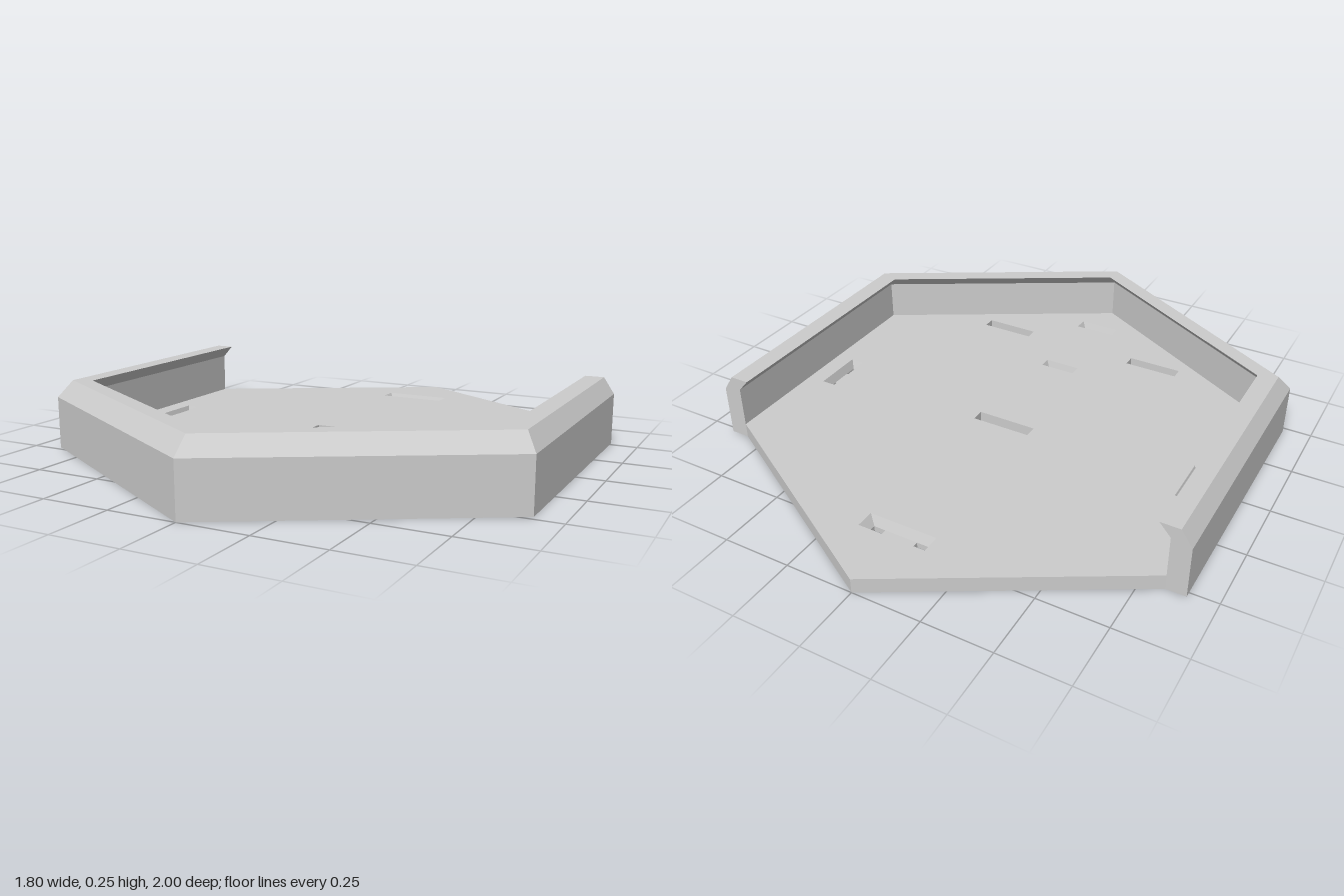
import * as THREE from 'three';

const FLOOR = 0.055, WEB = 0.02, BACK = -0.52;
const material = new THREE.MeshStandardMaterial({ color: 0xcccccc, flatShading: true });

// Plain slots cut right through the floor: x, z, half length, half width
const slots = [[0, -0.053, 0.112, 0.024], [0.328, 0.583, 0.103, 0.023], [-0.328, 0.583, 0.103, 0.023]];

// Tapered pockets with a bridge across the bottom (half sizes)
const pocket = (x, z, turned, length, width, innerLength, innerWidth, bridge) =>
  ({ x, z, turned, length, width, innerLength, innerWidth, bridge });
const pockets = [
  pocket(0, -0.748, false, 0.127, 0.034, 0.105, 0.018, 0.062),
  pocket(0, 0.407, false, 0.068, 0.022, 0.053, 0.013, 0.03),
  pocket(0, 0.766, false, 0.08, 0.027, 0.062, 0.014, 0.032),
  ...[1, -1].map((s) => pocket(s * 0.736, -0.048, true, 0.096, 0.027, 0.083, 0.016, 0.037)),
];

function rectangle(x, z, hx, hz) {
  return new THREE.Path([[-1, -1], [-1, 1], [1, 1], [1, -1]]
    .map(([a, b]) => new THREE.Vector2(x + a * hx, z + b * hz)));
}

// One slab of the floor, shape y becoming model z
function floorLayer(bottom, top, holes) {
  const shape = new THREE.Shape([[0, -1], [0.83, BACK], [0.83, 0.438], [0, 0.919], [-0.83, 0.438], [-0.83, BACK]]
    .map(([x, z]) => new THREE.Vector2(x, z)));
  shape.holes.push(...holes, ...slots.map((s) => rectangle(...s)));
  const geometry = new THREE.ExtrudeGeometry(shape, { depth: top - bottom, bevelEnabled: false });
  return geometry.rotateX(Math.PI / 2).translate(0, top, 0);
}

function lowerFloor() {
  const holes = pockets.flatMap((p) => [1, -1].map((s) => {
    const offset = s * (p.innerLength + p.bridge) / 2, half = (p.innerLength - p.bridge) / 2;
    return p.turned ? rectangle(p.x, p.z + offset, p.innerWidth, half)
      : rectangle(p.x + offset, p.z, half, p.innerWidth);
  }));
  return floorLayer(0, WEB, holes);
}

function upperFloor() {
  const holes = pockets.map((p) => p.turned ? rectangle(p.x, p.z, p.width, p.length)
    : rectangle(p.x, p.z, p.length, p.width));
  const geometry = floorLayer(WEB, FLOOR, holes);
  // Draw in the lower corners of each pocket so its sides slope
  const pos = geometry.attributes.position;
  for (let i = 0; i < pos.count; i++) {
    if (pos.getY(i) > (WEB + FLOOR) / 2) continue;
    for (const p of pockets) {
      const dx = pos.getX(i) - p.x, dz = pos.getZ(i) - p.z;
      const [along, across] = p.turned ? [dz, dx] : [dx, dz];
      if (Math.abs(along) > p.length + 1e-4 || Math.abs(across) > p.width + 1e-4) continue;
      const a = Math.sign(along) * p.innerLength, b = Math.sign(across) * p.innerWidth;
      pos.setX(i, p.x + (p.turned ? b : a));
      pos.setZ(i, p.z + (p.turned ? a : b));
      break;
    }
  }
  geometry.computeVertexNormals();
  return geometry;
}

// Wall with a bevelled rim and inward lip, swept round four sides of the hexagon
function wallGeometry() {
  // Profile: side x, corner z, front point z, height
  const profile = [
    [0.9, 0.478, 1, 0], [0.9, 0.478, 1, 0.19], [0.86, 0.438, 0.938, 0.25],
    [0.79, 0.411, 0.87, 0.25], [0.83, 0.438, 0.919, 0.205], [0.83, 0.438, 0.919, 0],
  ];
  const stations = [
    ([x, , , y]) => [x, y, BACK], ([x, c, , y]) => [x, y, c], ([, , f, y]) => [0, y, f],
    ([x, c, , y]) => [-x, y, c], ([x, , , y]) => [-x, y, BACK],
  ].map((place) => profile.map(place));
  const n = profile.length, points = [];
  for (let s = 0; s < stations.length - 1; s++) {
    for (let k = 0; k < n; k++) {
      const a = stations[s][k], b = stations[s + 1][k];
      const c = stations[s + 1][(k + 1) % n], d = stations[s][(k + 1) % n];
      points.push(...a, ...d, ...c, ...a, ...c, ...b);
    }
  }
  // End caps, fanned from the inner corner under the lip
  const first = stations[0], last = stations[4];
  for (const [j, k] of [[5, 0], [0, 1], [1, 2], [2, 3]]) {
    points.push(...first[4], ...first[k], ...first[j]);
    points.push(...last[4], ...last[j], ...last[k]);
  }
  const geometry = new THREE.BufferGeometry();
  geometry.setAttribute('position', new THREE.Float32BufferAttribute(points, 3));
  geometry.computeVertexNormals();
  return geometry;
}

export function createModel() {
  const model = new THREE.Group();
  model.name = 'hexagonalTray';
  const add = (name, geometry) => {
    const mesh = new THREE.Mesh(geometry, material);
    mesh.name = name;
    model.add(mesh);
  };
  add('lowerFloor', lowerFloor());
  add('upperFloor', upperFloor());
  add('lippedWall', wallGeometry());
  return model;
}
